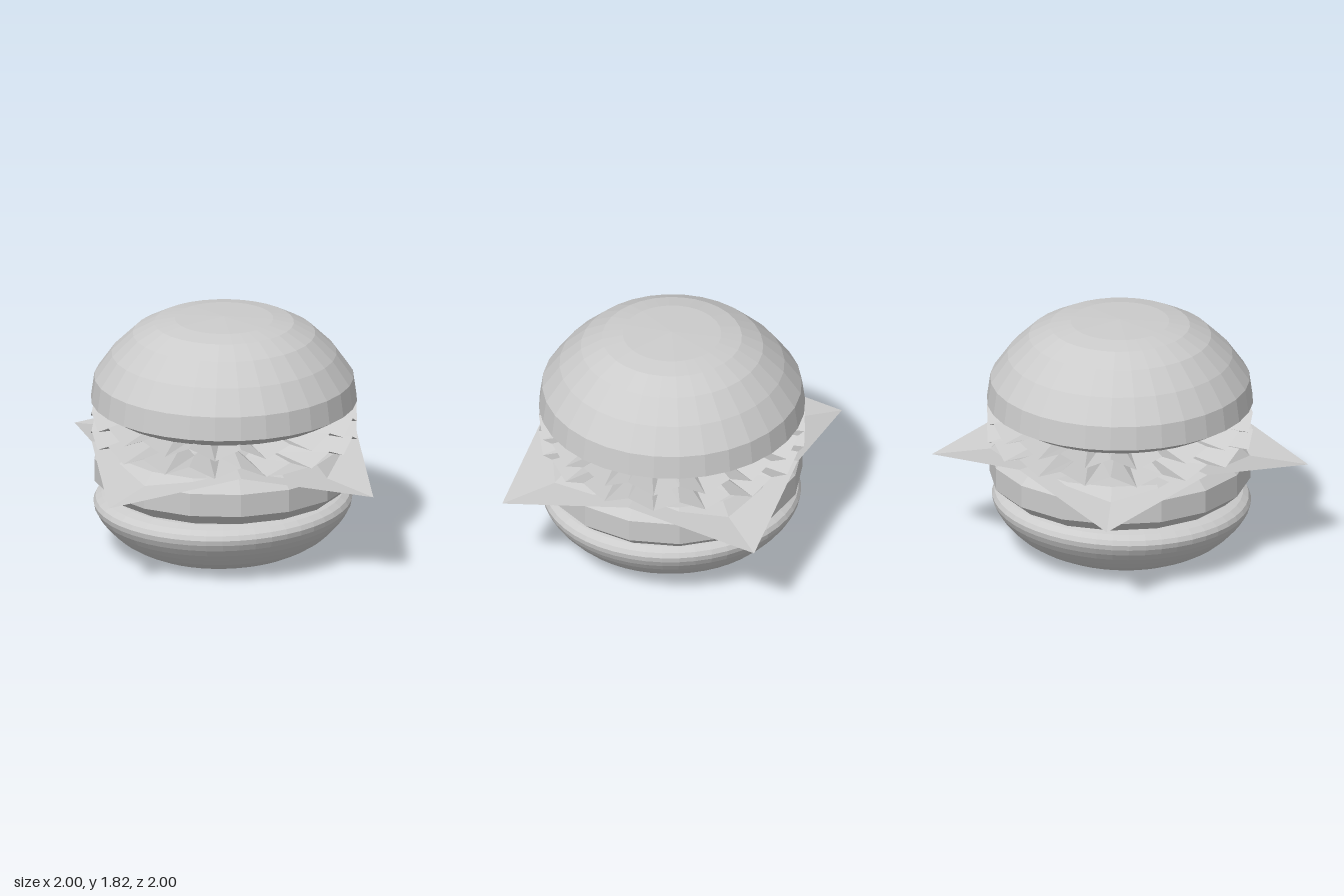
import * as THREE from 'three';

const material = new THREE.MeshStandardMaterial({ color: 0xcccccc, flatShading: true });
const sheetMaterial = new THREE.MeshStandardMaterial({
  color: 0xcccccc, flatShading: true, side: THREE.DoubleSide,
});

// Solid of revolution from [radius, height] pairs, bottom to top
function turned(name, profile, segments) {
  const points = profile.map(([r, y]) => new THREE.Vector2(r, y));
  const mesh = new THREE.Mesh(new THREE.LatheGeometry(points, segments), material);
  mesh.name = name;
  return mesh;
}

function sheet(name, positions, index) {
  const geometry = new THREE.BufferGeometry();
  geometry.setAttribute('position', new THREE.Float32BufferAttribute(positions, 3));
  geometry.setIndex(index);
  geometry.computeVertexNormals();
  const mesh = new THREE.Mesh(geometry, sheetMaterial);
  mesh.name = name;
  return mesh;
}

// Ruffled leaf: a ring of radial folds, alternately high and low
function lettuce(name, low, high) {
  const folds = 32, positions = [], index = [];
  for (let i = 0; i < folds; i++) {
    const a = (i / folds) * Math.PI * 2;
    const y = i % 2 ? low : high;
    for (const r of [0.5, 1]) positions.push(r * Math.sin(a), y, r * Math.cos(a));
    const p = i * 2, q = ((i + 1) % folds) * 2;
    index.push(p, p + 1, q + 1, p, q + 1, q);
  }
  return sheet(name, positions, index);
}

// Square slice: fan from the centre, with the four corners drooping
function cheese() {
  const top = 0.87, corner = 0.68;
  const positions = [0, top, 0], index = [];
  const rim = [[0, 1], [1, 1], [1, 0], [1, -1], [0, -1], [-1, -1], [-1, 0], [-1, 1]];
  rim.forEach(([x, z], i) => {
    positions.push(x, i % 2 ? corner : top, z);
    index.push(0, i + 1, ((i + 1) % 8) + 1);
  });
  return sheet('cheeseSlice', positions, index);
}

export function createModel() {
  const group = new THREE.Group();
  group.name = 'hamburger';

  // Bottom bun, resting slightly tilted
  const bottomBun = turned('bottomBun', [
    [0, 0], [0.4, 0.008], [0.55, 0.022], [0.64, 0.045], [0.72, 0.085], [0.79, 0.13],
    [0.85, 0.185], [0.9, 0.24], [0.94, 0.295], [0.965, 0.345], [0.972, 0.385],
    [0.955, 0.42], [0.91, 0.45], [0.84, 0.468], [0.6, 0.475], [0, 0.478],
  ], 48);
  bottomBun.rotation.set(0.018, 0, 0.024);
  bottomBun.position.y = 0.005;

  // Patty
  const patty = turned('patty', [
    [0, 0.47], [0.88, 0.47], [0.98, 0.56], [0.98, 0.735], [0.88, 0.825], [0, 0.825],
  ], 16);

  // Top bun
  const topBun = turned('topBun', [
    [0, 0.975], [0.4, 1.02], [0.85, 1.085], [1, 1.17], [0.975, 1.35], [0.845, 1.535],
    [0.685, 1.69], [0.525, 1.775], [0.37, 1.805], [0, 1.82],
  ], 32);

  group.add(
    bottomBun, patty, cheese(),
    lettuce('lowerLettuce', 0.87, 0.955),
    lettuce('upperLettuce', 1.01, 1.1),
    topBun,
  );
  return group;
}
